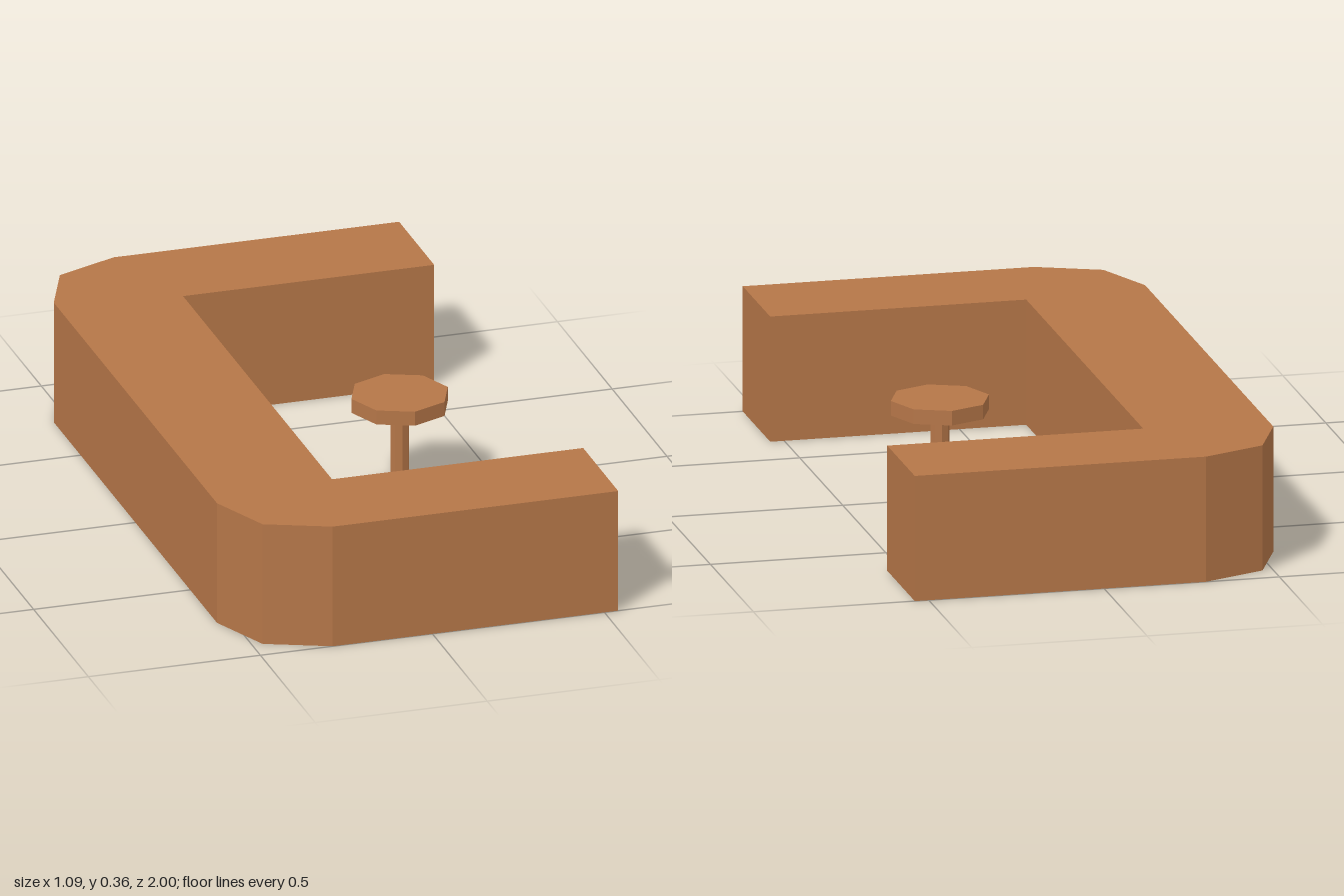
import * as THREE from 'three';

export function createModel() {
  const model = new THREE.Group();
  const wood = new THREE.MeshStandardMaterial({ color: 0xb57648, flatShading: true });
  wood.name = 'wood';

  const add = (parent, name, geometry, y = 0) => {
    const mesh = new THREE.Mesh(geometry, wood);
    mesh.name = name;
    mesh.position.y = y;
    parent.add(mesh);
  };

  // U-shaped counter with faceted outer corners, open towards +x
  const half = [[0.54, 0.68], [0.54, 1], [-0.29, 1], [-0.47, 0.925], [-0.545, 0.745]];
  const outline = [[-0.19, 0.68], ...half];
  const mirrored = outline.map(([x, z]) => [x, -z]).reverse();
  const shape = new THREE.Shape([...outline, ...mirrored].map(([x, z]) => new THREE.Vector2(x, z)));
  const counterGeometry = new THREE.ExtrudeGeometry(shape, { depth: 0.36, bevelEnabled: false });
  counterGeometry.rotateX(-Math.PI / 2);
  add(model, 'counter', counterGeometry);

  // Octagonal stool standing inside the counter
  const stool = new THREE.Group();
  stool.name = 'stool';
  stool.position.x = 0.223;
  add(stool, 'stoolBase', new THREE.CylinderGeometry(0.025, 0.102, 0.016, 8), 0.008);
  add(stool, 'stoolColumn', new THREE.CylinderGeometry(0.027, 0.027, 0.24, 8), 0.13);
  add(stool, 'stoolSeat', new THREE.CylinderGeometry(0.14, 0.14, 0.042, 8), 0.27);
  model.add(stool);

  return model;
}
